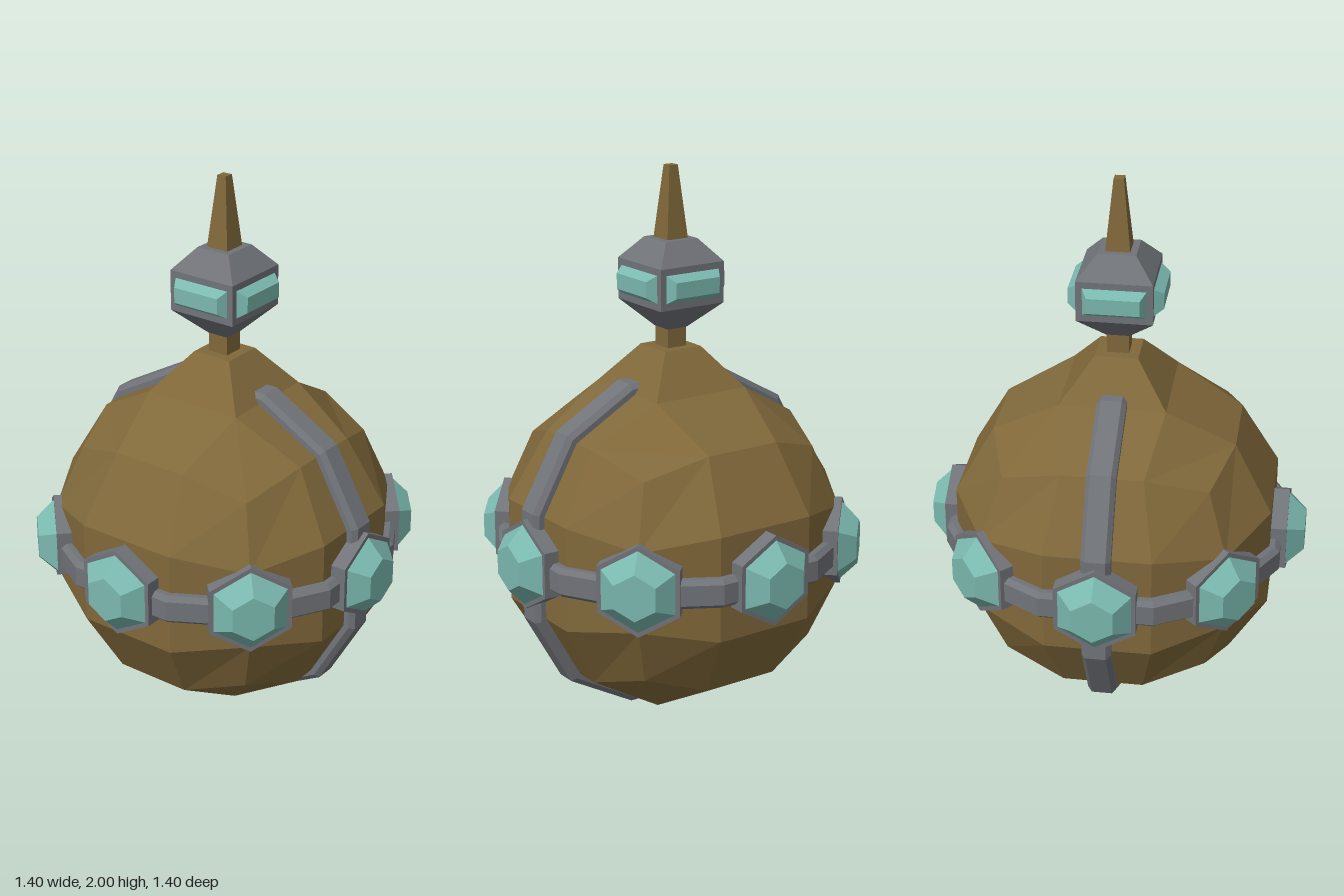
import * as THREE from 'three';

const mat = (color) => new THREE.MeshStandardMaterial({ color, flatShading: true });

export function createModel() {
  const model = new THREE.Group();
  const bronze = mat(0x80683a), steel = mat(0x707378), jewel = mat(0x7ab8ae);
  const CY = 0.62; // centre height of the globe

  const add = (parent, name, geometry, material) => {
    const mesh = new THREE.Mesh(geometry, material);
    mesh.name = name;
    parent.add(mesh);
    return mesh;
  };

  // Square frustum given by its half widths and heights
  const frustum = (name, bottom, top, y0, y1, material) => {
    const g = new THREE.CylinderGeometry(top * Math.SQRT2, bottom * Math.SQRT2, y1 - y0, 4);
    g.rotateY(Math.PI / 4).translate(0, (y0 + y1) / 2, 0);
    return add(model, name, g, material);
  };

  // Faceted globe: a subdivided cube pushed out to a sphere
  const globe = new THREE.BoxGeometry(2, 2, 2, 3, 3, 3);
  const p = globe.attributes.position, v = new THREE.Vector3();
  for (let i = 0; i < p.count; i++) {
    v.fromBufferAttribute(p, i).setLength(0.64);
    p.setXYZ(i, v.x, v.y + CY, v.z);
  }
  add(model, 'globe', globe, bronze);

  // Bands: chamfered section swept along a path in the xy plane
  const section = [[-0.053, 0.95], [-0.053, 1.035], [-0.037, 1.066], [0.037, 1.066], [0.053, 1.035], [0.053, 0.95]];
  const band = (path, closed) => {
    const verts = [], index = [], n = section.length;
    for (const [x, y] of path) for (const [w, k] of section) verts.push(x * k, y * k, w);
    const spans = closed ? path.length : path.length - 1;
    for (let i = 0; i < spans; i++) {
      const a = i * n, b = ((i + 1) % path.length) * n;
      for (let j = 0; j < n; j++) {
        const k = (j + 1) % n;
        index.push(a + j, b + j, b + k, a + j, b + k, a + k);
      }
    }
    const g = new THREE.BufferGeometry();
    g.setAttribute('position', new THREE.Float32BufferAttribute(verts, 3));
    g.setIndex(index);
    g.computeVertexNormals();
    return g;
  };

  // Twelve-sided outline of the globe, counterclockwise from the top left corner
  const ring = [];
  for (let q = 0; q < 4; q++) {
    const c = Math.round(Math.cos(q * Math.PI / 2)), s = Math.round(Math.sin(q * Math.PI / 2));
    for (const [x, y] of [[-0.193, 0.579], [-0.44, 0.44], [-0.579, 0.193]]) ring.push([x * c - y * s, x * s + y * c]);
  }
  const belt = band(ring, true);
  belt.rotateX(-Math.PI / 2).translate(0, CY, 0);
  add(model, 'belt', belt, steel);
  // Vertical band is open at the top, its ends sunk into the shoulder
  const strap = band([[-0.14, 0.579], ...ring, [0.14, 0.579]], false);
  strap.rotateY(Math.PI / 2).translate(0, CY, 0);
  add(model, 'verticalBand', strap, steel);

  // Eight hexagonal jewels in frames around the belt
  const hexagon = (r0, r1, z0, z1) =>
    new THREE.CylinderGeometry(r1, r0, z1 - z0, 6).rotateX(Math.PI / 2).translate(0, 0, (z0 + z1) / 2);
  for (let i = 0; i < 8; i++) {
    const mount = new THREE.Group();
    mount.name = 'beltJewel';
    mount.position.y = 0.632;
    mount.rotation.y = i * Math.PI / 4;
    add(mount, 'jewelFrame', hexagon(0.168, 0.168, 0.54, 0.637), steel);
    add(mount, 'jewel', hexagon(0.15, 0.085, 0.637, 0.7), jewel);
    model.add(mount);
  }

  // Shoulder, neck, finial and spike
  frustum('shoulder', 0.193, 0.078, 1.199, 1.345, bronze);
  frustum('neck', 0.04, 0.04, 1.34, 1.43, bronze);
  frustum('finialBase', 0.042, 0.136, 1.415, 1.51, steel);
  frustum('finialBlock', 0.136, 0.136, 1.51, 1.66, steel);
  frustum('finialCap', 0.136, 0.068, 1.66, 1.74, steel);
  frustum('spike', 0.044, 0.018, 1.74, 2, bronze);

  // Four bevelled rectangular jewels on the finial
  const bar = new THREE.BoxGeometry(0.228, 0.104, 0.036);
  const b = bar.attributes.position;
  for (let i = 0; i < b.count; i++) {
    if (b.getZ(i) > 0) b.setXY(i, b.getX(i) * 0.82, b.getY(i) * 0.55);
  }
  bar.translate(0, 0, 0.152);
  for (let i = 0; i < 4; i++) {
    const mesh = add(model, 'finialJewel', bar, jewel);
    mesh.position.y = 1.585;
    mesh.rotation.y = i * Math.PI / 2;
  }
  return model;
}
